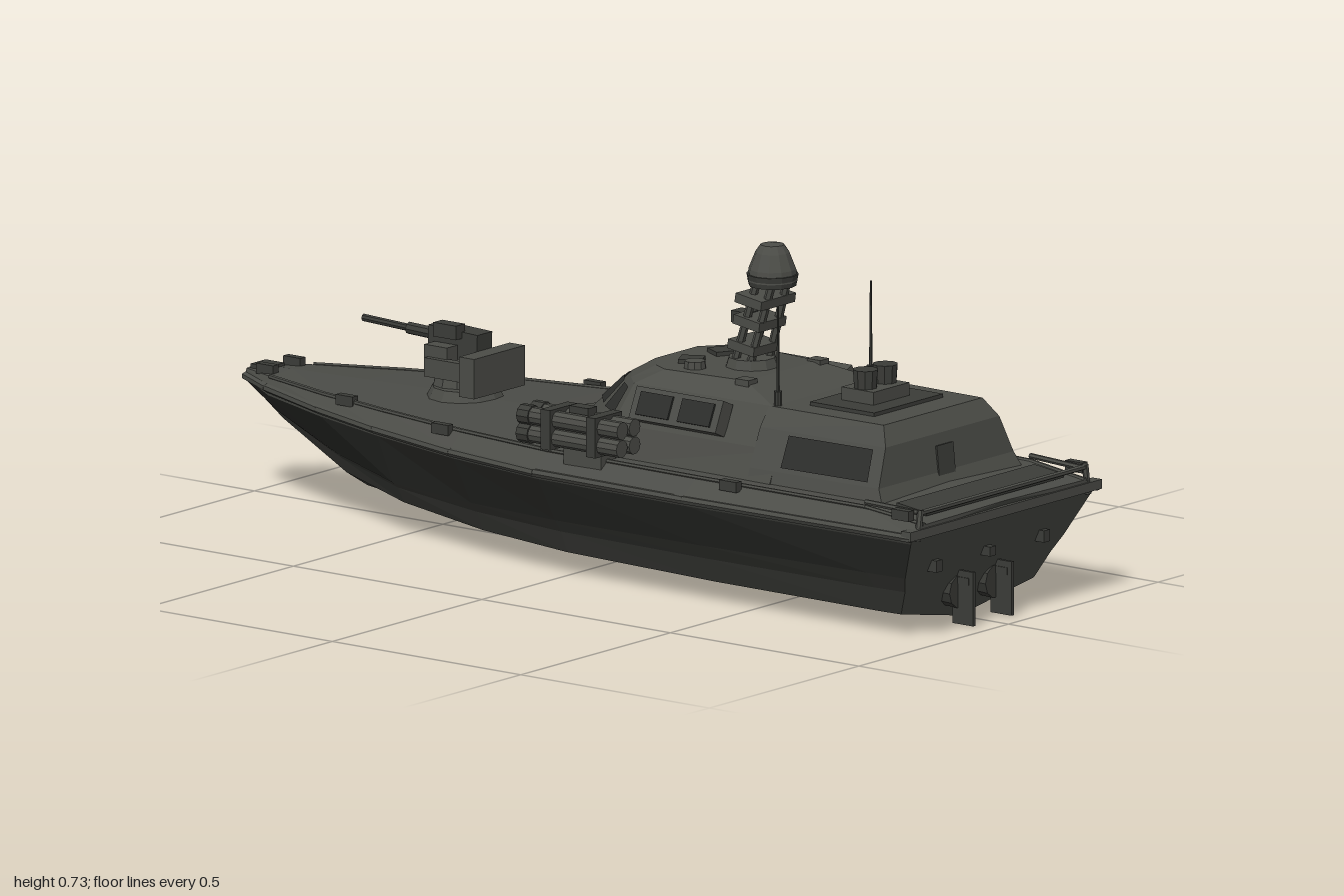
import * as THREE from 'three';

const mat = (name, color) => {
  const m = new THREE.MeshStandardMaterial({ color, flatShading: true, side: THREE.DoubleSide });
  m.name = name;
  return m;
};

export function createModel() {
  const model = new THREE.Group();
  const grey = mat('olive grey paint', 0x4b4c47);
  const dark = mat('dark hull side', 0x2a2b28);
  const bottom = mat('bottom paint', 0x383935);
  const glass = mat('dark glass', 0x2d2e2c);
  const metal = mat('gun metal', 0x3b3c38);

  const add = (name, geo, m, x = 0, y = 0, z = 0, rx = 0, ry = 0, rz = 0, parent = model) => {
    const mesh = new THREE.Mesh(geo, m);
    mesh.name = name;
    mesh.position.set(x, y, z);
    mesh.rotation.set(rx, ry, rz);
    parent.add(mesh);
    return mesh;
  };
  const box = (name, m, w, h, d, x, y, z, rx, ry, rz, p) =>
    add(name, new THREE.BoxGeometry(w, h, d), m, x, y, z, rx, ry, rz, p);
  const cyl = (name, m, r0, r1, h, x, y, z, rx, ry, rz, p, n = 10) =>
    add(name, new THREE.CylinderGeometry(r0, r1, h, n), m, x, y, z, rx, ry, rz, p);
  // Round bar between two points
  const bar = (name, m, r, a, b, n = 6) => {
    const A = new THREE.Vector3(...a), B = new THREE.Vector3(...b);
    const mesh = cyl(name, m, r, r, A.distanceTo(B), 0, 0, 0, 0, 0, 0, model, n);
    mesh.position.copy(A).add(B).multiplyScalar(0.5);
    mesh.quaternion.setFromUnitVectors(new THREE.Vector3(0, 1, 0), B.sub(A).normalize());
  };

  // Skin closed rings of points, with capped ends and one material index per strip
  const loft = (rings, strip = () => 0, cap = 0) => {
    const buckets = {}, n = rings[0].length;
    const tri = (k, ...p) => (buckets[k] ??= []).push(...p.flat());
    for (let i = 0; i + 1 < rings.length; i++) for (let j = 0; j < n; j++) {
      const k = (j + 1) % n, a = rings[i][j], b = rings[i][k], c = rings[i + 1][k], d = rings[i + 1][j];
      tri(strip(j), a, b, c);
      tri(strip(j), a, c, d);
    }
    const first = rings[0], last = rings[rings.length - 1];
    for (let j = 1; j + 1 < n; j++) {
      tri(cap, first[0], first[j + 1], first[j]);
      tri(cap, last[0], last[j], last[j + 1]);
    }
    const g = new THREE.BufferGeometry(), all = [];
    for (const k in buckets) {
      g.addGroup(all.length / 3, buckets[k].length / 3, +k);
      for (const v of buckets[k]) all.push(v);
    }
    g.setAttribute('position', new THREE.Float32BufferAttribute(all, 3));
    g.computeVertexNormals();
    return g;
  };
  // Stack of half outlines [x, z], mirrored across the centreline
  const house = (name, layers) => add(name, loft(layers.map(([y, pts]) => [
    ...pts.map(([x, z]) => [x, y, z]),
    ...pts.slice().reverse().map(([x, z]) => [x, y, -z])])), grey);

  // Hull stations: x, deck half width, sheer y, chine z, y, lower chine z, y, keel y, camber
  const stations = [
    [-1, 0.03, 0.262, 0.02, 0.24, 0.01, 0.235, 0.23, 0.012],
    [-0.9, 0.085, 0.26, 0.05, 0.20, 0.03, 0.18, 0.17, 0.02],
    [-0.7, 0.165, 0.257, 0.10, 0.145, 0.07, 0.10, 0.06, 0.028],
    [-0.5, 0.23, 0.255, 0.17, 0.125, 0.13, 0.075, 0.035, 0.035],
    [-0.25, 0.29, 0.252, 0.22, 0.125, 0.18, 0.06, 0.02, 0.04],
    [0, 0.325, 0.25, 0.255, 0.13, 0.215, 0.055, 0.012, 0.042],
    [0.4, 0.332, 0.25, 0.268, 0.135, 0.222, 0.05, 0.007, 0.042],
    [0.84, 0.32, 0.249, 0.27, 0.14, 0.225, 0.05, 0.005, 0.04],
    [0.99, 0.312, 0.247, 0.265, 0.14, 0.222, 0.05, 0.005, 0.02],
  ];
  const hullRings = stations.map(([x, w, ys, wc, yc, wb, yb, yk, cam], i) => {
    const half = [[w * 0.86, ys + cam * 0.8], [w, ys], [w * 0.96, ys - Math.min(0.022, (ys - yc) / 2)],
      [wc, yc], [(wc + wb) / 2, (yc + yb) / 2 + 0.01], [wb, yb]];
    const P = (z, y) => [i === stations.length - 1 ? x - 0.5 * Math.max(0, 0.247 - y) : x, y, z];
    return [P(0, ys + cam), ...half.map(([z, y]) => P(z, y)), P(0, yk),
      ...half.slice().reverse().map(([z, y]) => P(-z, y))];
  });
  const stripOf = (j) => [0, 0, 0, 1, 2, 2, 2][j < 7 ? j : 13 - j];
  add('hull', loft(hullRings, stripOf, 0), [grey, dark, bottom]);

  // Rubbing strakes and inner deck rails follow the sheer
  for (const s of [1, -1]) for (let i = 0; i + 1 < stations.length; i++) {
    const [a, b] = [stations[i], stations[i + 1]];
    bar('rubbingStrake', grey, 0.009, [a[0], a[2] - 0.006, s * a[1]], [b[0], b[2] - 0.006, s * b[1]]);
    if (i > 0) bar('deckRail', grey, 0.005, [a[0], a[2] + a[8] * 0.8, s * a[1] * 0.86],
      [b[0], b[2] + b[8] * 0.8, s * b[1] * 0.86]);
  }

  // Wheelhouse and aft deckhouse
  house('wheelhouse', [
    [0.27, [[-0.1, 0.09], [0.02, 0.2], [0.14, 0.25], [0.56, 0.25]]],
    [0.35, [[-0.02, 0.09], [0.05, 0.17], [0.13, 0.225], [0.56, 0.215]]],
    [0.43, [[0.07, 0.085], [0.11, 0.14], [0.15, 0.18], [0.51, 0.17]]],
    [0.46, [[0.12, 0.07], [0.16, 0.12], [0.2, 0.14], [0.4, 0.12]]]]);
  house('aftDeckhouse', [
    [0.26, [[0.5, 0.25], [0.86, 0.24]]],
    [0.31, [[0.5, 0.235], [0.835, 0.225]]],
    [0.39, [[0.5, 0.2], [0.825, 0.19]]],
    [0.43, [[0.5, 0.17], [0.8, 0.165]]]]);
  house('foredeckStep', [
    [0.27, [[-0.28, 0.06], [-0.1, 0.14], [0.05, 0.23]]],
    [0.315, [[-0.1, 0.06], [-0.04, 0.11], [0.05, 0.2]]]]);

  // Thin plate placed on a four cornered face, inset by fractions
  const panel = (name, m, [a, b, c, d], u0, u1, v0, v1) => {
    const V = (p) => new THREE.Vector3(...p);
    const at = (u, v) => V(a).lerp(V(b), u).lerp(V(d).lerp(V(c), u), v);
    const nrm = V(b).sub(V(a)).cross(V(d).sub(V(a))).normalize().multiplyScalar(0.006);
    const q = [at(u0, v0), at(u1, v0), at(u1, v1), at(u0, v1)].map((p) => p.add(nrm));
    const g = new THREE.BufferGeometry().setFromPoints([0, 1, 2, 0, 2, 3].map((i) => q[i]));
    g.computeVertexNormals();
    add(name, g, m);
  };
  // Swap corners on the mirrored side so faces keep pointing outward
  const sided = (s, f) => s > 0 ? f : [1, 0, 3, 2].map((i) => [f[i][0], f[i][1], -f[i][2]]);
  const front = [[-0.02, 0.35, -0.09], [-0.02, 0.35, 0.09], [0.07, 0.43, 0.085], [0.07, 0.43, -0.085]];
  panel('frontWindow', glass, front, 0.06, 0.46, 0.2, 0.85);
  panel('frontWindow', glass, front, 0.54, 0.94, 0.2, 0.85);
  for (const s of [1, -1]) {
    panel('cornerWindow', glass, sided(s, [[-0.02, 0.35, 0.09], [0.05, 0.35, 0.17], [0.11, 0.43, 0.14],
      [0.07, 0.43, 0.085]]), 0.12, 0.88, 0.2, 0.85);
    panel('cornerWindow', glass, sided(s, [[0.05, 0.35, 0.17], [0.13, 0.35, 0.225], [0.15, 0.43, 0.18],
      [0.11, 0.43, 0.14]]), 0.12, 0.88, 0.2, 0.85);
    panel('sideGrille', glass, sided(s, [[0.56, 0.31, 0.234], [0.835, 0.31, 0.225], [0.825, 0.39, 0.19],
      [0.56, 0.39, 0.198]]), 0.08, 0.9, 0.1, 0.9);

    // Armoured side window frame
    const frame = new THREE.Group();
    frame.name = 'sideWindowFrame';
    frame.position.set(0.3, 0.397, s * 0.213);
    frame.rotation.x = -s * 0.42;
    model.add(frame);
    box('windowFrame', grey, 0.23, 0.07, 0.035, 0, 0, 0, 0, 0, 0, frame);
    for (const x of [-0.055, 0.055])
      box('sideWindow', glass, 0.085, 0.05, 0.006, x, 0, s * 0.019, 0, 0, 0, frame);

    // Side launcher: four tubes in clamps on a bracket
    for (const [y, z] of [[0.328, 0.285], [0.328, 0.328], [0.366, 0.285], [0.366, 0.326]]) {
      cyl('launcherTube', grey, 0.019, 0.019, 0.25, 0.11, y, s * z, 0, 0, Math.PI / 2);
      cyl('tubeCap', metal, 0.022, 0.022, 0.03, -0.015, y, s * z, 0, 0, Math.PI / 2);
    }
    for (const x of [0.05, 0.17]) box('launcherClamp', metal, 0.025, 0.085, 0.09, x, 0.347, s * 0.306);
    box('launcherBracket', grey, 0.1, 0.06, 0.05, 0.11, 0.295, s * 0.278);
    box('launcherSight', metal, 0.05, 0.025, 0.03, 0.11, 0.385, s * 0.3);

    // Whip antennas, rudders, nozzles, transom lugs
    cyl('whipAntenna', metal, 0.002, 0.004, 0.22, 0.512, 0.53, s * 0.155, 0, 0, 0, model, 6);
    cyl('antennaBase', metal, 0.009, 0.009, 0.04, 0.512, 0.44, s * 0.155);
    box('rudder', metal, 0.055, 0.115, 0.008, 0.933, 0.064, s * 0.064);
    box('rudderArm', metal, 0.08, 0.015, 0.012, 0.91, 0.1, s * 0.064);
    cyl('jetNozzle', bottom, 0.033, 0.036, 0.06, 0.89, 0.075, s * 0.06, 0, 0, Math.PI / 2);
    box('transomLug', metal, 0.025, 0.025, 0.02, 0.947, 0.155, s * 0.18);

    // Stern rails and bollards
    bar('sternSideRail', grey, 0.006, [0.84, 0.292, s * 0.275], [0.985, 0.287, s * 0.27]);
    bar('sternPost', grey, 0.007, [0.985, 0.23, s * 0.285], [0.985, 0.295, s * 0.275]);
    for (const [x, z] of [[-0.93, 0.045], [-0.62, 0.17], [-0.3, 0.255], [0.5, 0.3], [0.95, 0.29]]) {
      box('bollard', metal, 0.045, 0.022, 0.018, x, 0.283, s * z);
    }
    cyl('roofVent', grey, 0.022, 0.025, 0.025, 0.24, 0.463, s * 0.09);
    box('roofLamp', grey, 0.035, 0.03, 0.03, 0.4, 0.45, s * 0.12);
    box('roofHatch', metal, 0.05, 0.012, 0.045, 0.2, 0.463, s * 0.05, 0, s * 0.5);
  }
  box('transomLug', metal, 0.025, 0.02, 0.02, 0.947, 0.155, 0);
  bar('sternRail', grey, 0.006, [0.985, 0.289, -0.275], [0.985, 0.289, 0.275]);
  box('sternSill', grey, 0.025, 0.02, 0.64, 0.982, 0.246, 0);
  box('sternWell', metal, 0.08, 0.008, 0.46, 0.925, 0.28, 0, 0, 0, -0.12);
  box('aftDoor', metal, 0.008, 0.075, 0.055, 0.832, 0.328, 0, 0, 0, 0.1);
  box('stemFitting', metal, 0.05, 0.025, 0.05, -0.965, 0.27, 0);

  // Aft deckhouse roof hatch and sensor
  box('roofCoaming', metal, 0.17, 0.012, 0.23, 0.65, 0.432, 0);
  box('sensorBase', grey, 0.085, 0.035, 0.12, 0.647, 0.448, 0);
  for (const s of [1, -1]) cyl('sensorHead', metal, 0.027, 0.024, 0.045, 0.647, 0.482, s * 0.033);

  // Raked ladder mast with radome
  const mastX = (y) => 0.315 + (y - 0.46) * 0.3;
  cyl('mastFoot', grey, 0.05, 0.06, 0.03, 0.32, 0.465, 0);
  for (const s of [1, -1]) for (const dx of [-0.018, 0.022])
    bar('mastLeg', grey, 0.009, [mastX(0.46) + dx, 0.46, s * 0.032], [mastX(0.645) + dx, 0.645, s * 0.026]);
  for (const [y, w] of [[0.505, 0.085], [0.56, 0.09], [0.61, 0.115]])
    box('mastCrosspiece', grey, 0.07, 0.02, w, mastX(y) - 0.005, y, 0, 0, 0, -0.15);
  box('mastRadar', metal, 0.045, 0.025, 0.035, 0.3, 0.562, 0);
  cyl('radomeCollar', metal, 0.055, 0.05, 0.025, 0.374, 0.652, 0, 0, 0, 0, model, 12);
  const profile = [[0.053, 0.65], [0.05, 0.675], [0.036, 0.71], [0.025, 0.726], [0, 0.73]];
  add('radome', new THREE.LatheGeometry(profile.map(([r, y]) => new THREE.Vector2(r, y)), 12), grey, 0.374);

  // Bow gun
  cyl('gunRing', grey, 0.07, 0.085, 0.03, -0.44, 0.295, 0, 0, 0, 0, model, 12);
  cyl('gunPedestal', grey, 0.04, 0.055, 0.06, -0.46, 0.335, 0);
  box('gunCradle', metal, 0.13, 0.06, 0.05, -0.455, 0.4, 0, 0, 0, -0.04);
  box('gunShield', grey, 0.04, 0.085, 0.17, -0.37, 0.35, 0);
  for (const s of [1, -1]) {
    box('gunSideArm', grey, 0.12, 0.04, 0.02, -0.43, 0.355, s * 0.065);
    box('ammoBox', grey, 0.06, 0.06, 0.035, -0.47, 0.37, s * 0.045);
  }
  box('gunSight', metal, 0.06, 0.03, 0.03, -0.46, 0.43, 0.03);
  bar('gunBarrel', metal, 0.008, [-0.5, 0.408, 0], [-0.71, 0.416, 0], 8);
  bar('barrelJacket', metal, 0.013, [-0.5, 0.408, 0], [-0.59, 0.411, 0], 8);
  return model;
}
